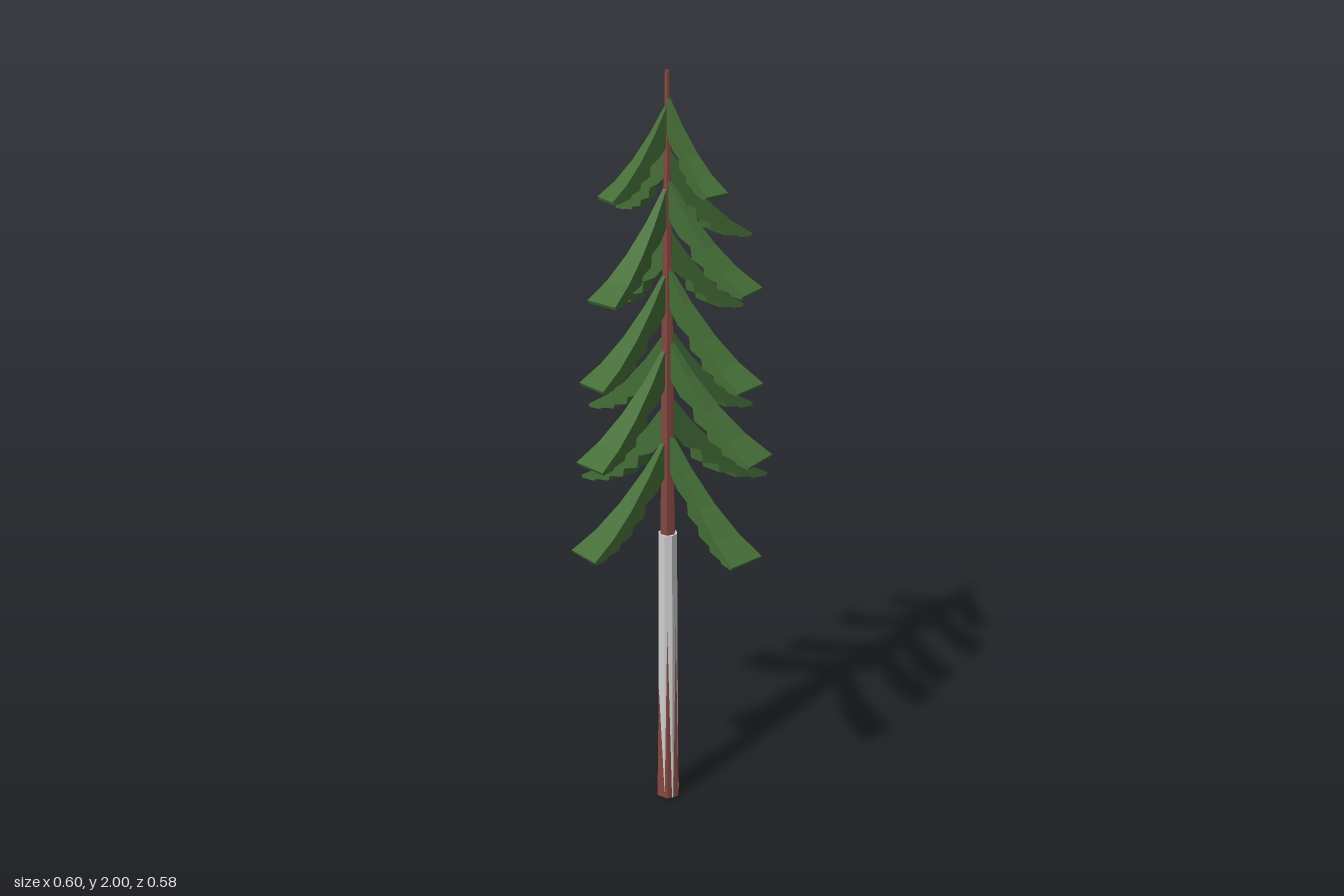
import * as THREE from 'three';

const bark = new THREE.MeshStandardMaterial({ color: 0x824840 });
bark.name = 'bark brown';
const sleeveGrey = new THREE.MeshStandardMaterial({ color: 0xcfcfcf });
sleeveGrey.name = 'pale grey';
const needle = new THREE.MeshStandardMaterial({ color: 0x456e37 });
needle.name = 'needle green';

const TRUNK_X = -0.023;

// flat facets: every triangle keeps its own normal
function faceted(geometry) {
  const g = geometry.index ? geometry.toNonIndexed() : geometry;
  g.computeVertexNormals();
  return g;
}

// drooping bough: sagging top edge, sawtooth underside, fanning out to the tip
function boughGeometry(length, drop) {
  const sag = t => -drop * (1.5 * t - 0.5 * t * t);
  const thickness = t => 0.012 + 0.06 * Math.sin(Math.PI * Math.min(1, (1 - t) * 0.75));
  const shape = new THREE.Shape();
  shape.moveTo(0, 0);
  for (const t of [0.25, 0.5, 0.75, 1]) shape.lineTo(t * length, sag(t));
  shape.lineTo(0.985 * length, sag(1) - 0.008);
  // each tooth runs inward almost level, then steps up
  const teeth = 5;
  for (let i = 0; i < teeth; i++) {
    const t0 = 1 - 0.17 * i, t1 = t0 - 0.17;
    const level = sag(t0) - thickness(t0) * 0.75;
    const rise = sag(t1) - thickness(t1) * 0.75 - level;
    if (i > 0) shape.lineTo(t0 * length, level);
    shape.lineTo((t1 + 0.015) * length, level + rise * 0.3);
  }
  shape.lineTo(0, -0.1);
  shape.closePath();

  const g = new THREE.ExtrudeGeometry(shape, { depth: 1, bevelEnabled: false });
  g.translate(0, 0, -0.5);
  const p = g.attributes.position;
  for (let i = 0; i < p.count; i++) {
    p.setZ(i, p.getZ(i) * (0.008 + 0.34 * p.getX(i)));
  }
  return faceted(g);
}

// tip centres [x, y, z] of the boughs on each side, from top to bottom
const boughs = {
  rightBough: [[-0.2, 1.71, 0.024], [-0.245, 1.475, 0.095], [-0.262, 1.255, 0.065],
    [-0.277, 1.05, 0.08], [-0.289, 0.8, 0.058]],
  leftBough: [[0.206, 1.57, -0.043], [0.187, 1.385, -0.045], [0.226, 1.1, -0.075],
    [0.278, 0.885, -0.1]],
  backBough: [[-0.068, 1.645, -0.152], [-0.089, 1.38, -0.211], [-0.11, 1.1, -0.225],
    [-0.104, 0.88, -0.274]],
  frontBough: [[0.024, 1.73, 0.175], [0.103, 1.49, 0.213], [0.085, 1.255, 0.245],
    [0.115, 1.06, 0.248], [0.063, 0.805, 0.278]],
};

export function createModel() {
  const tree = new THREE.Group();
  tree.name = 'coniferTree';

  // tapering six-sided trunk, its corners showing through the sleeve at the foot
  const profile = [[0, 0], [0.033, 0], [0.021, 0.78], [0.017, 1.3], [0.006, 2], [0, 2]]
    .map(([r, y]) => new THREE.Vector2(r, y));
  const trunk = new THREE.Mesh(faceted(new THREE.LatheGeometry(profile, 6, Math.PI / 6)), bark);
  trunk.name = 'trunk';
  trunk.position.x = TRUNK_X;
  tree.add(trunk);

  // pale sleeve around the lower trunk
  const sleeve = new THREE.Mesh(
    faceted(new THREE.CylinderGeometry(0.0255, 0.0295, 0.79, 8)), sleeveGrey);
  sleeve.name = 'trunkSleeve';
  sleeve.position.set(TRUNK_X, 0.395, 0);
  tree.add(sleeve);

  // boughs
  for (const [name, tips] of Object.entries(boughs)) {
    tips.forEach(([x, y, z], i) => {
      const dx = x - TRUNK_X;
      const length = Math.hypot(dx, z);
      const drop = 0.1 + 0.62 * length;
      const bough = new THREE.Mesh(boughGeometry(length, drop), needle);
      bough.name = name + (i + 1);
      bough.position.set(TRUNK_X, y + drop, 0);
      bough.rotation.y = Math.atan2(-z, dx);
      tree.add(bough);
    });
  }
  return tree;
}
